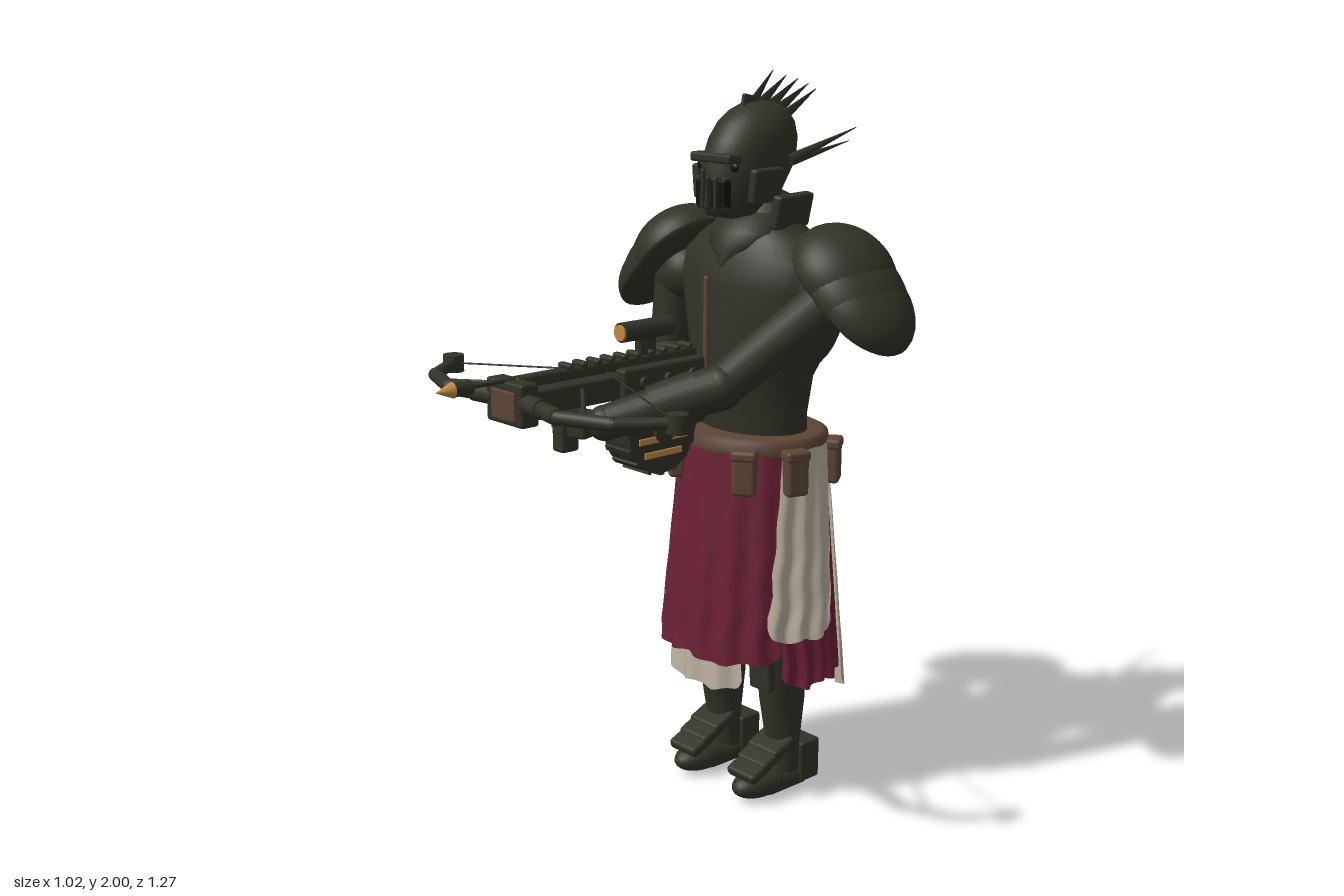
import * as THREE from 'three';
import { RoundedBoxGeometry } from 'three/addons/geometries/RoundedBoxGeometry.js';

const material = (name, color, side = THREE.FrontSide) => {
  const m = new THREE.MeshStandardMaterial({ color, side });
  m.name = name;
  return m;
};

export function createModel() {
  const steel = material('dark steel', 0x313227);
  const black = material('black', 0x12120f);
  const red = material('red cloth', 0x6a2035, THREE.DoubleSide);
  const cream = material('cream cloth', 0xbab0a0, THREE.DoubleSide);
  const leather = material('brown leather', 0x5c4535);
  const gold = material('gold', 0xc08a40);
  const root = new THREE.Group();
  root.name = 'armouredArcher';
  const V = (p) => new THREE.Vector3(...p);

  const add = (name, geo, mat, pos = [0, 0, 0], rot = [0, 0, 0], scale = [1, 1, 1]) => {
    const m = new THREE.Mesh(geo, mat);
    m.name = name;
    m.position.set(...pos);
    m.rotation.set(...rot);
    m.scale.set(...scale);
    root.add(m);
    return m;
  };
  const box = (name, size, pos, mat = steel, rot, r = 0.008) =>
    add(name, new RoundedBoxGeometry(...size, 2, Math.min(r, Math.min(...size) * 0.45)), mat, pos, rot);
  const ball = (name, size, pos, mat = steel, rot) =>
    add(name, new THREE.SphereGeometry(1, 32, 20), mat, pos, rot, size);
  // Round bar between two points
  const rod = (name, a, b, r0, r1 = r0, mat = steel, seg = 20) => {
    const d = V(b).sub(V(a));
    const m = add(name, new THREE.CylinderGeometry(r1, r0, d.length(), seg), mat);
    m.position.copy(V(a)).addScaledVector(d, 0.5);
    m.quaternion.setFromUnitVectors(new THREE.Vector3(0, 1, 0), d.normalize());
    return m;
  };
  // Skin over a grid of points; rows run upward, columns run from front to +x
  const skin = (rows, cols, point, wrap) => {
    const p = [], idx = [], w = wrap ? cols : cols + 1;
    for (let i = 0; i <= rows; i++) for (let j = 0; j < w; j++) p.push(...point(i / rows, j / cols, i));
    for (let i = 0; i < rows; i++) for (let j = 0; j < cols; j++) {
      const a = i * w + j, b = i * w + (j + 1) % w;
      idx.push(a, b, b + w, a, b + w, a + w);
    }
    const g = new THREE.BufferGeometry();
    g.setAttribute('position', new THREE.Float32BufferAttribute(p, 3));
    g.setIndex(idx);
    g.computeVertexNormals();
    return g;
  };
  // Elliptical sections: [y, centre z, half width, half depth]
  const loft = (name, s, mat = steel, x = 0) =>
    add(name, skin(s.length - 1, 36, (u, v, i) => {
      const [y, cz, rx, rz] = s[i], t = v * Math.PI * 2;
      return [rx * Math.sin(t), y, cz + rz * Math.cos(t)];
    }, true), mat, [x, 0, 0]);

  // Torso, back plate and collar
  loft('torso', [[0.98, -0.39, 0.17, 0.12], [1.1, -0.385, 0.168, 0.125], [1.2, -0.385, 0.178, 0.145],
    [1.28, -0.4, 0.215, 0.16], [1.36, -0.41, 0.245, 0.165], [1.45, -0.405, 0.258, 0.16], [1.52, -0.4, 0.245, 0.14],
    [1.57, -0.4, 0.19, 0.115], [1.61, -0.4, 0.12, 0.095], [1.68, -0.4, 0.085, 0.075], [1.72, -0.4, 0, 0]]);
  ball('backPlate', [0.235, 0.21, 0.16], [0, 1.38, -0.44]);
  loft('collar', [[1.5, -0.37, 0.03, 0.12], [1.55, -0.37, 0.11, 0.115], [1.59, -0.38, 0.125, 0.11], [1.64, -0.39, 0.1, 0.09], [1.64, -0.39, 0, 0]]);
  box('chestStrap', [0.016, 0.33, 0.012], [0.006, 1.315, -0.2], leather);

  // Helmet
  loft('helmet', [[1.62, -0.3, 0, 0], [1.635, -0.295, 0.06, 0.075], [1.7, -0.335, 0.088, 0.12], [1.77, -0.355, 0.1, 0.144],
    [1.83, -0.37, 0.1, 0.132], [1.87, -0.38, 0.088, 0.113], [1.9, -0.388, 0.067, 0.085], [1.918, -0.39, 0.04, 0.05], [1.925, -0.39, 0, 0]]);
  box('brow', [0.15, 0.025, 0.05], [0, 1.785, -0.235]);
  for (let i = -2; i <= 2; i++) box('visorBar', [0.012, 0.085, 0.02], [i * 0.024, 1.695, -0.208 - Math.abs(i) * 0.008]);
  box('visorSlot', [0.11, 0.075, 0.03], [0, 1.695, -0.228], black);
  box('noseGuard', [0.012, 0.08, 0.012], [0, 1.72, -0.19]);
  const crest = [[-0.35, 1.9, -0.44, 2], [-0.39, 1.91, -0.49, 1.985], [-0.42, 1.9, -0.535, 1.975], [-0.45, 1.89, -0.575, 1.96], [-0.47, 1.87, -0.605, 1.945]];
  for (const [z0, y0, z1, y1] of crest) rod('crestSpike', [0, y0, z0], [0, y1, z1], 0.018, 0.001, steel, 8).scale.x = 0.4;
  box('crestRidge', [0.012, 0.05, 0.15], [0, 1.905, -0.4], steel, [-0.2, 0, 0]);
  for (const s of [-1, 1]) {
    ball('eye', [0.015, 0.012, 0.008], [s * 0.062, 1.763, -0.243], black);
    box('cheekPlate', [0.025, 0.09, 0.12], [s * 0.1, 1.715, -0.32], steel, [0, s * 0.12, s * -0.12]);
    box('neckPlate', [0.03, 0.09, 0.15], [s * 0.115, 1.645, -0.4], steel, [0, s * 0.15, s * -0.2]);
    rod('upperHorn', [s * 0.095, 1.775, -0.41], [s * 0.14, 1.85, -0.615], 0.015, 0.001, steel, 8);
    rod('lowerHorn', [s * 0.095, 1.77, -0.42], [s * 0.128, 1.815, -0.6], 0.012, 0.001, steel, 8);
  }

  // Layered shoulder shells: deep above, shallow below
  const shell = skin(20, 36, (u, v) => {
    const f = (u - 0.5) * Math.PI, t = v * Math.PI * 2, y = Math.sin(f);
    return [Math.cos(f) * Math.sin(t), y > 0 ? y : y * 0.35, Math.cos(f) * Math.cos(t)];
  }, true);
  for (const s of [-1, 1]) {
    [[0.305, 1.495, 0.15, 0.115, 0.15], [0.345, 1.455, 0.165, 0.105, 0.146], [0.372, 1.432, 0.165, 0.095, 0.14]].forEach(
      ([x, y, ...size]) => add('shoulderPlate', shell, steel, [s * x, y, -0.4], [0, 0, s * -0.77], size));
    ball('shoulderJoint', [0.085, 0.085, 0.085], [s * 0.27, 1.44, -0.39]);
  }

  // Arms holding the weapon
  const arm = (side, shoulder, elbow, wrist) => {
    rod(side + 'UpperArm', shoulder, elbow, 0.066, 0.056);
    ball(side + 'Elbow', [0.06, 0.06, 0.06], elbow);
    rod(side + 'Forearm', elbow, wrist, 0.06, 0.045);
    ball(side + 'Shoulder', [0.07, 0.07, 0.07], shoulder);
    const mid = V(elbow).lerp(V(wrist), 0.2).toArray(), end = V(elbow).lerp(V(wrist), 0.6).toArray();
    rod(side + 'Vambrace', mid, end, 0.064, 0.058);
    ball(side + 'Hand', [0.046, 0.046, 0.046], wrist);
  };
  arm('left', [0.29, 1.43, -0.36], [0.2, 1.235, -0.07], [0.03, 1.15, 0.17]);
  arm('right', [-0.3, 1.43, -0.38], [-0.315, 1.21, -0.36], [-0.1, 1.1, -0.2]);
  box('leftPalm', [0.1, 0.06, 0.09], [-0.03, 1.145, 0.21], steel, [0, 0.3, 0]);
  box('rightPalm', [0.06, 0.09, 0.07], [-0.06, 1.12, -0.2]);
  for (let i = 0; i < 4; i++) {
    rod('leftFinger', [-0.08, 1.13, 0.175 + i * 0.022], [-0.085, 1.19, 0.175 + i * 0.022], 0.011);
    rod('rightFinger', [-0.07, 1.085 + i * 0.022, -0.16], [-0.01, 1.085 + i * 0.022, -0.17], 0.011);
  }

  // Legs and boots
  for (const s of [-1, 1]) {
    const x = s * 0.12;
    loft('leg', [[0.06, -0.41, 0.05, 0.045], [0.15, -0.405, 0.05, 0.048], [0.28, -0.4, 0.056, 0.072],
      [0.42, -0.39, 0.058, 0.078], [0.55, -0.385, 0.065, 0.075], [0.98, -0.39, 0.08, 0.09]], steel, x);
    box('kneePlate', [0.08, 0.2, 0.03], [x, 0.42, -0.315], steel, [0.08, 0, 0]);
    box('heel', [0.11, 0.12, 0.075], [x, 0.08, -0.465]);
    ball('bootToe', [0.054, 0.042, 0.1], [x, 0.042, -0.32]);
    box('bootSole', [0.1, 0.06, 0.17], [x, 0.035, -0.39], steel, undefined, 0.025);
    for (let i = 0; i < 3; i++)
      box('footPlate', [0.115 - i * 0.004, 0.032, 0.085], [x, 0.145 - i * 0.025, -0.36 + i * 0.042], steel, [0.4, 0, 0], 0.012);
  }

  // Cloth skirt: angles in degrees from the front, at top and at hem
  const cloth = (name, mat, [a0, a1], [b0, b1], top, hem, grow, folds) => {
    const n = 48;
    add(name, skin(16, n, (u, v) => {
      const t = 1 - u, e = Math.sin(t * 23 + b0) * 1.3 * t;
      const a = THREE.MathUtils.degToRad((a0 + (b0 - a0) * t) * (1 - v) + (a1 + (b1 - a1) * t) * v + e);
      const corner = 0.04 * Math.pow(Math.abs(2 * v - 1), 12);
      const y = top + (hem + corner + 0.006 * Math.sin(v * 17) - top) * t;
      const d = (1.02 - y) / 0.7;
      const k = grow + 0.007 * (0.3 + t) * Math.sin(v * Math.PI * 2 * folds);
      return [(0.212 + 0.055 * d + k) * Math.sin(a), y, -0.39 + (0.176 + 0.055 * d + k) * Math.cos(a)];
    }), mat);
  };
  cloth('frontPanel', red, [-66, 66], [-60, 60], 1.025, 0.43, 0.01, 6);
  cloth('frontUnderPanel', cream, [-40, 40], [-34, 34], 0.95, 0.345, -0.015, 3);
  cloth('backPanel', cream, [140, 220], [130, 230], 1.025, 0.275, 0.01, 5);
  for (const s of [-1, 1]) {
    const span = (a, b) => (s > 0 ? [a, b] : [-b, -a]);
    cloth('sidePanel', cream, span(62, 112), span(52, 104), 1.025, 0.5, 0.014, 3);
    cloth('sideUnderPanel', red, span(60, 145), span(62, 136), 1.02, 0.36, -0.004, 5);
  }

  // Belt and pouches
  loft('belt', [[1.005, -0.387, 0.215, 0.18], [1.01, -0.387, 0.224, 0.188], [1.045, -0.387, 0.222, 0.186],
    [1.053, -0.387, 0.205, 0.17], [1.053, -0.387, 0.15, 0.11]], leather);
  for (const deg of [35, 72, 125, -35, -48, -78, -125]) {
    const a = THREE.MathUtils.degToRad(deg), x = 0.235 * Math.sin(a), z = -0.387 + 0.2 * Math.cos(a);
    box('pouch', [0.065, 0.11, 0.045], [x, 0.96, z], leather, [0, a, 0], 0.012);
    box('pouchFlap', [0.07, 0.03, 0.052], [x, 1.015, z], leather, [0, a, 0], 0.01);
  }
  box('hipPouch', [0.03, 0.17, 0.08], [-0.24, 0.79, -0.38], leather, [0, 0, -0.08]);

  // Crossbow stock, rail and sight
  const cx = -0.042;
  box('stock', [0.1, 0.085, 0.29], [cx, 1.225, -0.06]);
  box('rail', [0.062, 0.065, 0.32], [cx, 1.22, 0.22]);
  box('railTop', [0.035, 0.03, 0.6], [cx, 1.275, 0.1]);
  for (let i = 0; i < 10; i++) box('railTooth', [0.05, 0.016, 0.02], [cx, 1.295, -0.17 + i * 0.045]);
  for (const s of [-1, 1]) for (let i = 0; i < 3; i++)
    rod('stockBolt', [cx + s * 0.04, 1.23, -0.15 + i * 0.085], [cx + s * 0.062, 1.23, -0.15 + i * 0.085], 0.014);
  rod('sight', [cx, 1.355, -0.11], [cx, 1.355, 0.055], 0.026);
  rod('sightLens', [cx, 1.355, 0.053], [cx, 1.355, 0.06], 0.021, 0.021, gold);
  box('sightMount', [0.025, 0.07, 0.06], [cx, 1.31, -0.03]);
  box('rearGrip', [0.04, 0.13, 0.05], [cx, 1.14, -0.19], steel, [0.2, 0, 0]);
  box('foreGrip', [0.045, 0.11, 0.055], [cx, 1.13, 0.24]);

  // Drum magazine with gold slats
  rod('drum', [cx - 0.052, 1.09, -0.045], [cx + 0.052, 1.09, -0.045], 0.115, 0.115, steel, 40);
  for (let i = 0; i < 16; i++) {
    const a = i * Math.PI / 8;
    box('drumRib', [0.1, 0.018, 0.018], [cx, 1.09 + 0.113 * Math.sin(a), -0.045 + 0.113 * Math.cos(a)], steel, [-a, 0, 0], 0.003);
  }
  for (const s of [-1, 1]) {
    for (const dy of [-0.06, -0.02, 0.02, 0.06])
      box('drumSlat', [0.006, 0.018, Math.abs(dy) > 0.05 ? 0.13 : 0.17], [cx + s * 0.054, 1.09 + dy, -0.045], gold);
    rod('drumHub', [cx + s * 0.05, 1.09, -0.045], [cx + s * 0.064, 1.09, -0.045], 0.032);
  }
  box('drumMount', [0.085, 0.03, 0.12], [cx, 1.175, -0.05], leather);

  // Bow limbs, string and loaded bolt
  const by = 1.235;
  box('bowBlock', [0.145, 0.11, 0.055], [cx, 1.23, 0.405]);
  box('bowBlockFace', [0.095, 0.075, 0.008], [cx, 1.225, 0.433], leather);
  for (const s of [-1, 1]) {
    const pts = [[0.06, 0.41], [0.135, 0.42], [0.22, 0.44], [0.36, 0.385], [0.447, 0.265]].map(([x, z]) => [cx + s * x, by, z]);
    [0.025, 0.021, 0.018, 0.016].forEach((r, i) => {
      rod('bowLimb', pts[i], pts[i + 1], r);
      if (i) ball('limbJoint', [r, r, r], pts[i]);
    });
    rod('limbTip', [pts[4][0], by - 0.023, 0.265], [pts[4][0], by + 0.023, 0.265], 0.028);
    rod('bowString', pts[4], [cx, by + 0.03, 0.11], 0.0025, 0.0025, steel, 6);
    rod('limbBrace', [cx + s * 0.285, by, 0.41], [cx + s * 0.02, by, 0.2], 0.006, 0.006, steel, 8);
  }
  rod('boltShaft', [cx, 1.285, 0.1], [cx, 1.285, 0.54], 0.006);
  rod('boltCollar', [cx, 1.285, 0.53], [cx, 1.285, 0.583], 0.018);
  rod('boltTip', [cx, 1.285, 0.583], [cx, 1.285, 0.63], 0.02, 0.001, gold);
  return root;
}
